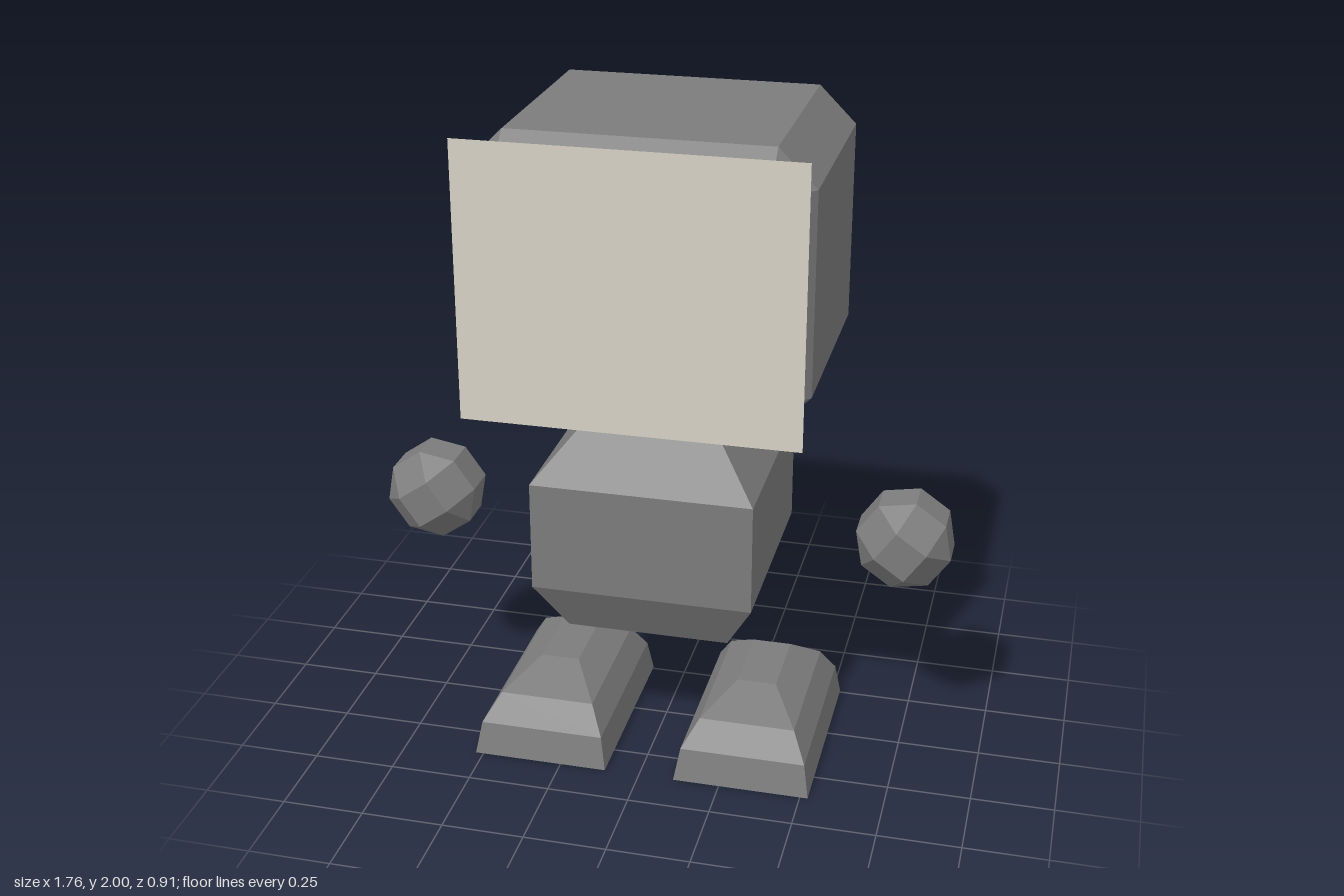
import * as THREE from 'three';
import { ConvexGeometry } from 'three/addons/geometries/ConvexGeometry.js';

const grey = new THREE.MeshStandardMaterial({ color: 0x7c7c7c });
grey.name = 'grey';
const cream = new THREE.MeshStandardMaterial({ color: 0xd6d2c5 });
cream.name = 'cream';
const red = new THREE.MeshStandardMaterial({ color: 0xd03434 });
red.name = 'red';

// Faceted solid from stacked rectangles: [y, xHalf, zBack, zFront]
function stackedRings(rings) {
  const points = [];
  for (const [y, x, back, front] of rings) {
    for (const sx of [-x, x]) {
      for (const z of [back, front]) points.push(new THREE.Vector3(sx, y, z));
    }
  }
  return new ConvexGeometry(points);
}

// Box with all edges and corners cut: half sizes and cut depth per axis
function chamferedBox(half, cut) {
  const points = [];
  for (let axis = 0; axis < 3; axis++) {
    for (const sx of [-1, 1]) for (const sy of [-1, 1]) for (const sz of [-1, 1]) {
      const signs = [sx, sy, sz];
      const p = half.map((h, i) => signs[i] * (i === axis ? h : h - cut[i]));
      points.push(new THREE.Vector3(...p));
    }
  }
  return new ConvexGeometry(points);
}

function addMesh(group, name, geometry, material, x = 0, y = 0, z = 0) {
  const mesh = new THREE.Mesh(geometry, material);
  mesh.name = name;
  mesh.position.set(x, y, z);
  group.add(mesh);
  return mesh;
}

export function createModel() {
  const model = new THREE.Group();
  model.name = 'blockFigure';

  // Head
  addMesh(model, 'head', chamferedBox([0.49, 0.408, 0.45], [0.11, 0.11, 0.12]), grey, 0, 1.592, -0.003);

  // Flat face plate, cream in front and red behind
  const plate = new THREE.PlaneGeometry(0.98, 0.816);
  addMesh(model, 'facePlateFront', plate, cream, 0, 1.592, 0.453);
  addMesh(model, 'facePlateBack', plate, red, 0, 1.592, 0.451).rotation.y = Math.PI;

  // Torso
  addMesh(model, 'torso', stackedRings([
    [0.433, 0.246, -0.246, 0.246],
    [0.597, 0.333, -0.333, 0.333],
    [0.935, 0.333, -0.333, 0.333],
    [1.102, 0.194, -0.194, 0.194],
  ]), grey);

  // Hands and feet, mirrored
  const hand = chamferedBox([0.135, 0.135, 0.135], [0.08, 0.08, 0.08]);
  const foot = stackedRings([
    [0, 0.208, -0.26, 0.365],
    [0.1, 0.191, -0.243, 0.342],
    [0.175, 0.146, -0.2, 0.276],
    [0.233, 0.06, -0.127, 0.122],
  ]);
  for (const [side, s] of [['left', 1], ['right', -1]]) {
    addMesh(model, side + 'Hand', hand, grey, s * 0.738, 0.733, 0.017)
      .rotation.z = -s * THREE.MathUtils.degToRad(35);
    addMesh(model, side + 'Foot', foot, grey, s * 0.316, 0, 0);
  }
  return model;
}
